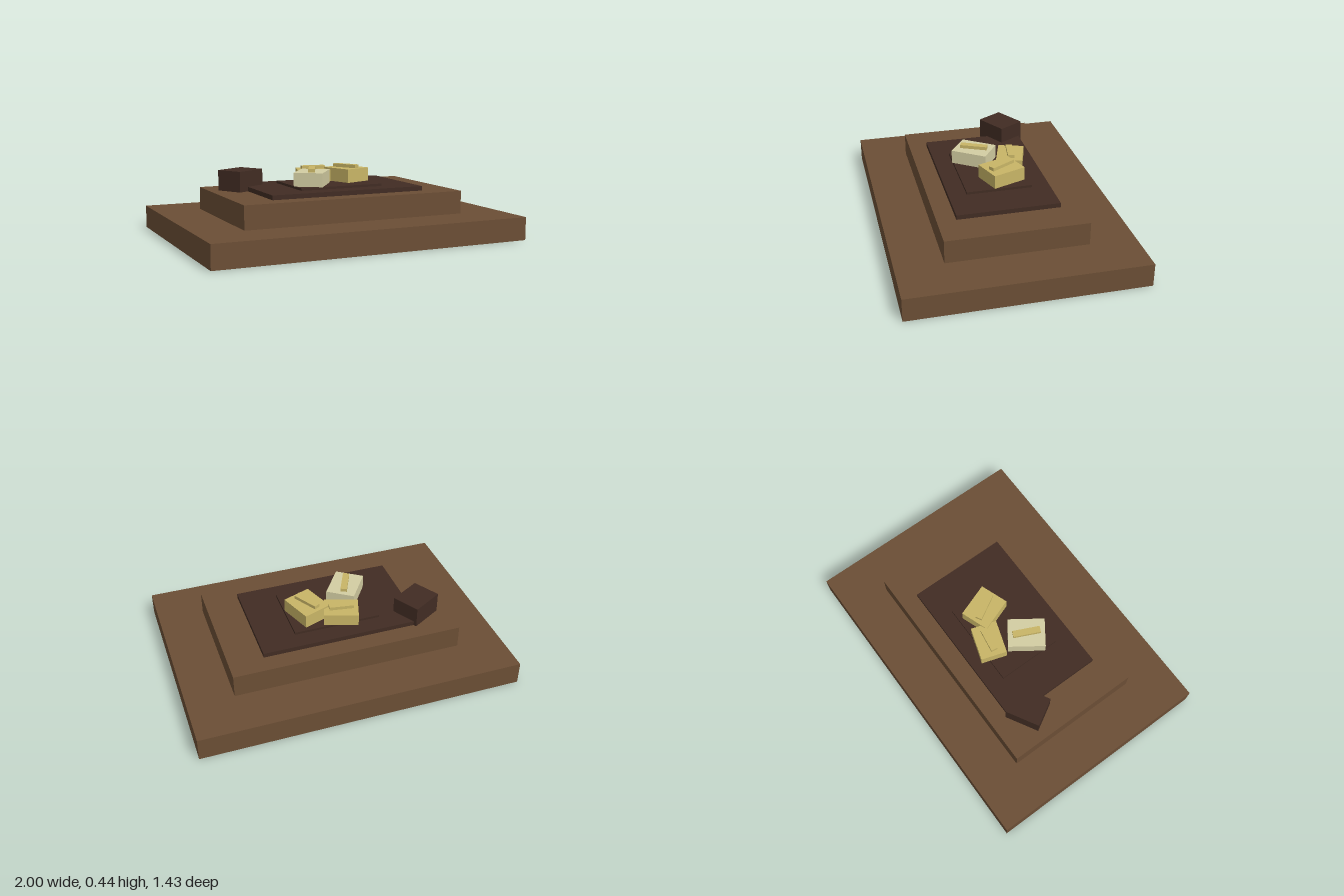
import * as THREE from 'three';

const material = (name, color) => {
  const m = new THREE.MeshStandardMaterial({ color });
  m.name = name;
  return m;
};

export function createModel() {
  const model = new THREE.Group();
  const brown = material('brown wood', 0x6b4e35);
  const dark = material('dark wood', 0x412c23);
  const gold = material('gold', 0xc8b566);
  const cream = material('cream', 0xd3cda2);

  // Box spanning y0..y1, turned about the vertical by a number of degrees
  const block = (name, mat, [w, d], y0, y1, x = 0, z = 0, turn = 0) => {
    const mesh = new THREE.Mesh(new THREE.BoxGeometry(w, y1 - y0, d), mat);
    mesh.name = name;
    mesh.position.set(x, (y0 + y1) / 2, z);
    mesh.rotation.y = THREE.MathUtils.degToRad(turn);
    model.add(mesh);
  };

  // Stepped plinth
  block('lowerStep', brown, [2, 1.428], 0, 0.143);
  block('upperStep', brown, [1.428, 0.857], 0.143, 0.286);
  block('darkSlab', dark, [1, 0.628], 0.286, 0.314);
  block('innerSlab', dark, [0.543, 0.406], 0.314, 0.329);

  // Loose dark block resting on the upper step
  block('cornerBlock', dark, [0.214, 0.179], 0.286, 0.414, -0.516, -0.2, 30);

  // Three bricks, each with a slim bar on top
  const bricks = [
    { name: 'frontBrick', mat: cream, size: [0.179, 0.229], top: 0.414, x: -0.143, z: 0.067, turn: -35, bar: [0.04, 0.171], barTurn: -25 },
    { name: 'leftBrick', mat: gold, size: [0.182, 0.218], top: 0.414, x: 0.144, z: -0.043, turn: 20, bar: [0.04, 0.171], barTurn: 30 },
    { name: 'backBrick', mat: gold, size: [0.21, 0.162], top: 0.403, x: -0.043, z: -0.145, turn: -18, bar: [0.15, 0.04], barTurn: -9 },
  ];
  for (const b of bricks) {
    block(b.name, b.mat, b.size, 0.329, b.top, b.x, b.z, b.turn);
    block(b.name + 'Bar', gold, b.bar, b.top, b.top + 0.021, b.x, b.z, b.barTurn);
  }

  return model;
}
